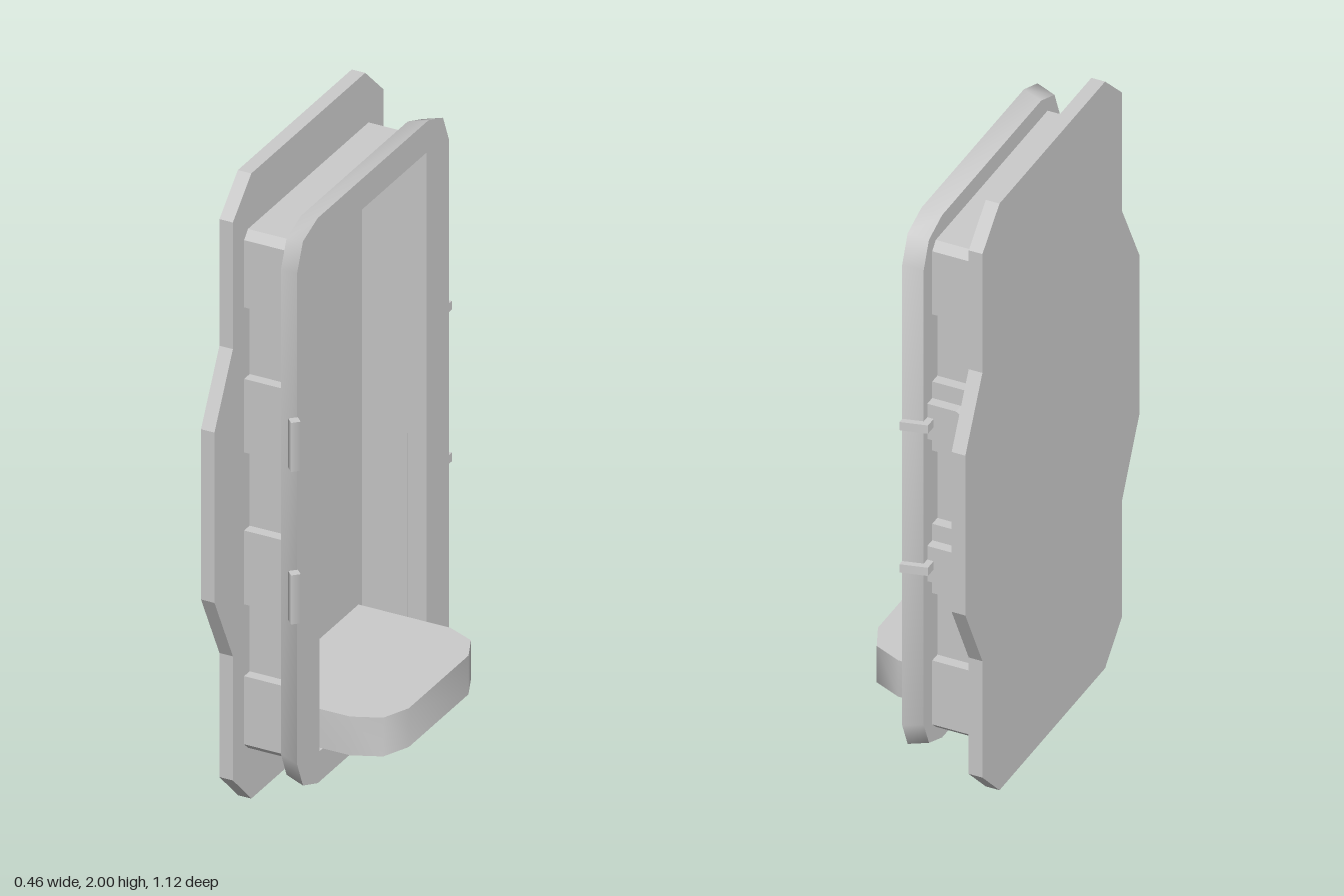
import * as THREE from 'three';
import { toCreasedNormals } from 'three/addons/utils/BufferGeometryUtils.js';

const MID = 1.001; // height of the tray's centre
const FLOOR = -0.187; // front face of the backing plate
const material = new THREE.MeshStandardMaterial({ color: 0xcccccc });
const vectors = (points) => points.map(([a, b]) => new THREE.Vector2(a, b));

// Closes a half outline by mirroring it sideways
const mirrored = (half) => [...half, ...half.map(([a, b]) => [-a, b]).reverse()];

// Extrudes an outline drawn in (-z, y) along x; the hole runs the opposite way round
function slab(outline, x0, x1, hole) {
  const shape = new THREE.Shape(vectors(outline));
  if (hole) shape.holes.push(new THREE.Path(vectors(hole)));
  const geometry = new THREE.ExtrudeGeometry(shape, { depth: x1 - x0, bevelEnabled: false });
  geometry.rotateY(Math.PI / 2);
  geometry.translate(x0, 0, 0);
  return geometry;
}

// Extrudes an outline drawn in (x, z) upwards
function upright(outline, y0, y1) {
  const shape = new THREE.Shape(vectors(outline.map(([x, z]) => [x, -z])));
  const geometry = new THREE.ExtrudeGeometry(shape, { depth: y1 - y0, bevelEnabled: false });
  geometry.rotateX(-Math.PI / 2);
  geometry.translate(0, y0, 0);
  return geometry;
}

export function createModel() {
  const group = new THREE.Group();
  const add = (name, geometry) => {
    const mesh = new THREE.Mesh(geometry, material);
    mesh.name = name;
    group.add(mesh);
    return mesh;
  };
  const opening = mirrored([[0.32, 0.194], [0.32, 1.807]]);

  // Wide flat backing plate, also the floor of the recess
  add('backPlate', slab(mirrored([
    [0.34, 2], [0.45, 1.895], [0.45, 1.49], [0.56, 1.275],
    [0.56, 0.73], [0.45, 0.507], [0.45, 0.11], [0.34, 0],
  ]), -0.23, FLOOR));

  // Tray walls with four raised pads down each side
  const side = [[0.36, 1.832]];
  const pads = [[1.807, 1.592], [1.363, 1.128], [0.878, 0.642], [0.412, 0.194]];
  pads.forEach(([top, bottom], i) => {
    if (i > 0) side.push([0.35, top]);
    side.push([0.383, top], [0.383, bottom]);
    if (i < 3) side.push([0.35, bottom]);
  });
  side.push([0.36, 0.172]);
  add('trayWalls', slab(mirrored(side), FLOOR, -0.04, opening));

  // Flared rim: the outer edge draws in towards the back
  const rim = slab(mirrored([
    [0.33, 1.905], [0.418, 1.872], [0.453, 1.787],
    [0.453, 0.215], [0.418, 0.131], [0.33, 0.097],
  ]), -0.04, 0.02, opening);
  const p = rim.attributes.position;
  for (let i = 0; i < p.count; i++) {
    const y = p.getY(i) - MID, z = p.getZ(i);
    const outer = Math.abs(z) > 0.325 || Math.abs(y) > 0.83;
    if (outer && p.getX(i) < -0.01) p.setXYZ(i, -0.04, MID + y * 0.985, z * 0.967);
  }
  add('rim', toCreasedNormals(rim, 1.0));

  // Bottom shelf with rounded front corners
  const shelf = [[FLOOR, 0.3], [0.107, 0.3], [0.193, 0.262], [0.23, 0.178]];
  add('shelf', toCreasedNormals(
    upright([...shelf, ...shelf.map(([x, z]) => [x, -z]).reverse()], 0.194, 0.318), 0.8));

  // Two hinge pins on the left edge, each with a matching latch on the other
  [[0.758, 0.762], [1.246, 1.247]].forEach(([pinY, latchY]) => {
    const pin = add('hingePin', new THREE.CylinderGeometry(0.02, 0.02, 0.157, 4));
    pin.position.set(0.02, pinY, 0.469);

    // Bent clip that reaches from the tray wall round the rim
    add('latchClip', upright([
      [-0.06, -0.383], [-0.06, -0.452], [0.02, -0.471],
      [0.02, -0.45], [-0.04, -0.433], [-0.04, -0.383],
    ], latchY - 0.014, latchY + 0.014));

    // Block behind it, tapered towards the back
    const shape = new THREE.Shape(vectors([
      [-0.04, -0.06], [-0.04, 0.06], [-0.13, 0.06], [-0.18, 0.03], [-0.18, -0.03], [-0.13, -0.06],
    ]));
    const block = add('latchBlock',
      new THREE.ExtrudeGeometry(shape, { depth: 0.04, bevelEnabled: false }));
    block.position.set(0, latchY, -0.415);
  });

  return group;
}
